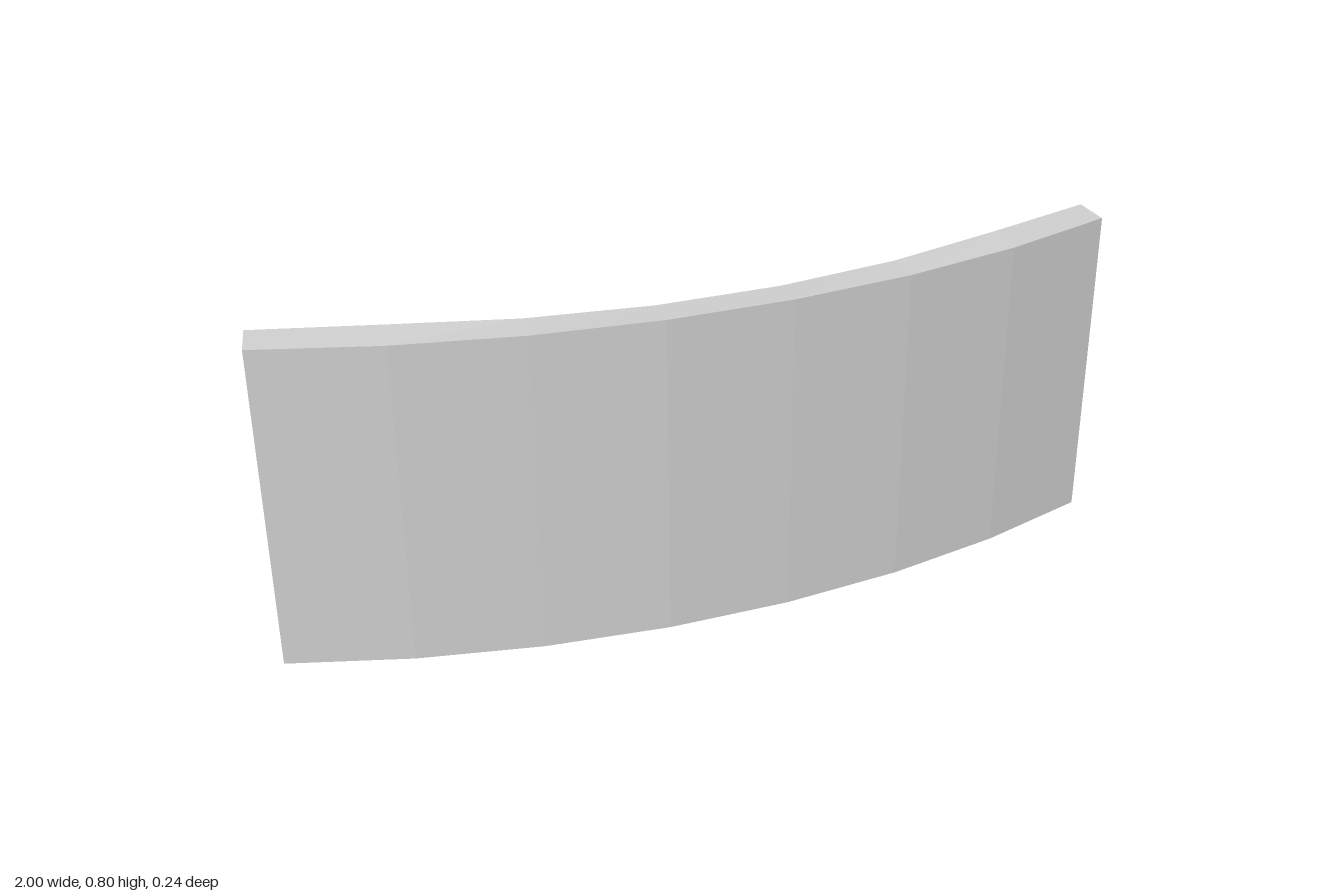
import * as THREE from 'three';

const SEG = 7;          // facets along the curve
const MID = 0.402;      // height of the panel's centre line
const AXIS_Z = -2.8765; // centre of curvature

// Closed loop along the top edge and back along the bottom, on a cylinder.
// halves: half height for each station, from the middle outwards.
function loop(radius, angle, halves) {
  const top = [], bottom = [];
  for (let i = 0; i <= SEG; i++) {
    const t = (i / SEG) * 2 - 1;
    const a = t * angle;
    const h = halves[Math.min(halves.length - 1, Math.floor(Math.abs(i - SEG / 2)))];
    const x = radius * Math.sin(a), z = AXIS_Z + radius * Math.cos(a);
    top.push([x, MID + h, z]);
    bottom.unshift([x, MID - h, z]);
  }
  return [...top, ...bottom];
}

function quad(out, a, b, c, d) {
  out.push(...a, ...b, ...c, ...a, ...c, ...d);
}

// Band between two loops
function band(from, to) {
  const out = [];
  for (let i = 0; i < from.length; i++) {
    const j = (i + 1) % from.length;
    quad(out, from[i], from[j], to[j], to[i]);
  }
  return out;
}

// Curved sheet filling a loop
function sheet(ring, facesFront) {
  const out = [], n = ring.length;
  for (let i = 0; i < SEG; i++) {
    const a = ring[i], b = ring[i + 1], c = ring[n - 2 - i], d = ring[n - 1 - i];
    if (facesFront) quad(out, d, c, b, a);
    else quad(out, a, b, c, d);
  }
  return out;
}

function part(name, positions) {
  const geo = new THREE.BufferGeometry();
  geo.setAttribute('position', new THREE.Float32BufferAttribute(positions, 3));
  geo.computeVertexNormals();
  const mat = new THREE.MeshStandardMaterial({ color: 0xcccccc, flatShading: true });
  const mesh = new THREE.Mesh(geo, mat);
  mesh.name = name;
  return mesh;
}

export function createModel() {
  const group = new THREE.Group();
  group.name = 'curvedPanel';

  const front = loop(3.0, 0.3398, [0.389]);
  const back = loop(2.925, 0.3435, [0.390, 0.394, 0.402, 0.398]);
  const frameInner = loop(2.917, 0.3245, [0.335]);
  const ledgeOuter = loop(2.942, 0.3245, [0.335]);
  const ledgeInner = loop(2.942, 0.3115, [0.297]);
  const panel = loop(2.967, 0.3115, [0.297]);

  group.add(
    part('frontFace', sheet(front, true)),
    part('outerEdge', band(front, back)),
    part('backFrame', band(back, frameInner)),
    part('frameInnerWall', band(frameInner, ledgeOuter)),
    part('recessLedge', band(ledgeOuter, ledgeInner)),
    part('recessWall', band(ledgeInner, panel)),
    part('recessedBackPanel', sheet(panel, false)),
  );
  return group;
}
